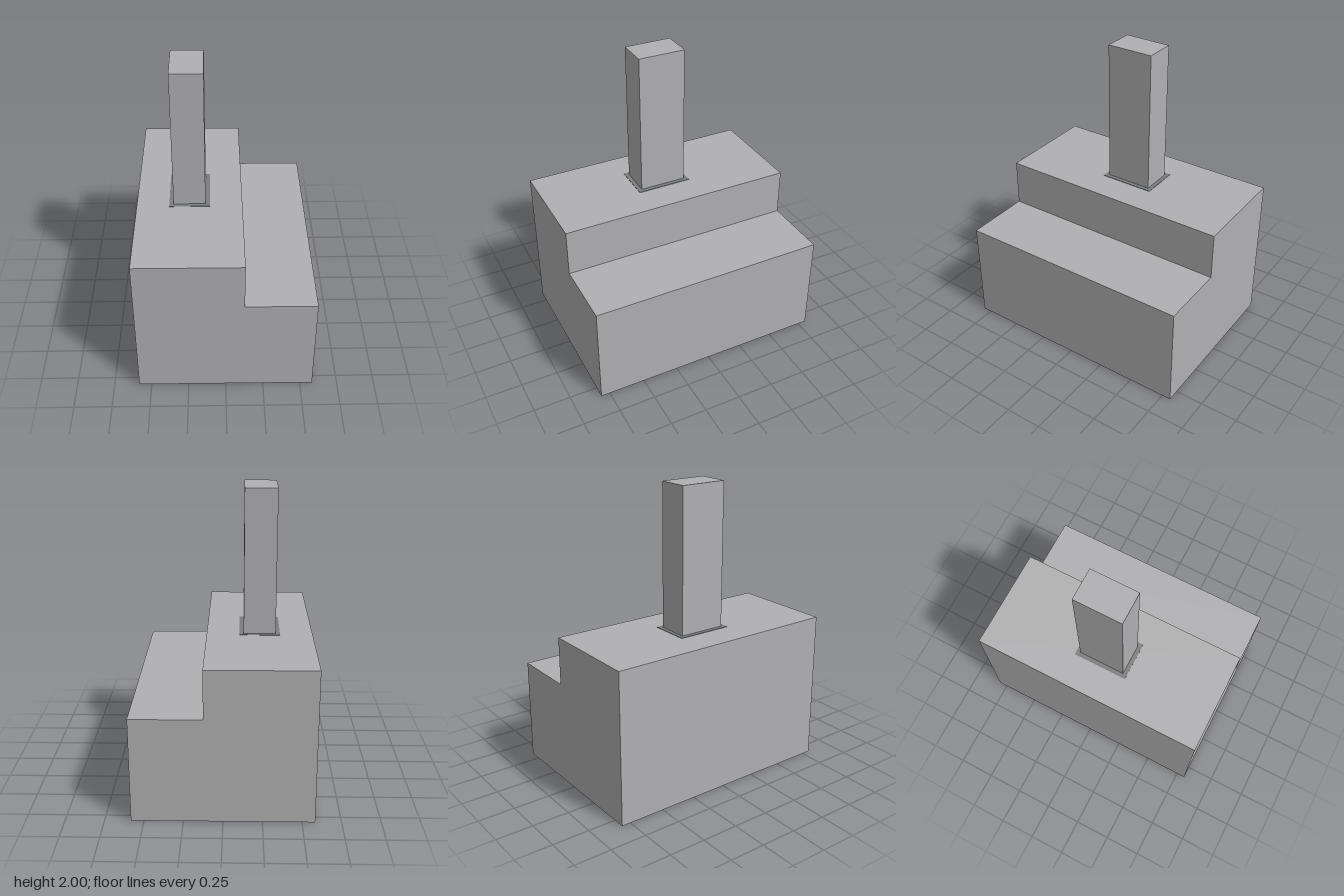
import * as THREE from 'three';

export function createModel() {
  const model = new THREE.Group();
  model.name = 'steppedBuilding';

  const wallGrey = new THREE.MeshStandardMaterial({ name: 'wall grey', color: 0xb0b0b2 });
  const trimGrey = new THREE.MeshStandardMaterial({ name: 'trim grey', color: 0x7a7e7f });

  const add = (name, geometry, material) => {
    const mesh = new THREE.Mesh(geometry, material);
    mesh.name = name;
    model.add(mesh);
    return mesh;
  };

  const half = 0.583, depth = 1.62, roofY = 1.03, stepY = 0.705, stepX = 0.12;

  // Main body: L-shaped section run along z
  const section = new THREE.Shape([
    [-half, 0], [half, 0], [half, stepY], [stepX, stepY], [stepX, roofY], [-half, roofY],
  ].map(([x, y]) => new THREE.Vector2(x, y)));
  const body = new THREE.ExtrudeGeometry(section, { depth, bevelEnabled: false });
  body.translate(0, 0, -depth / 2);
  add('body', body, wallGrey);

  // Tall tower on the upper roof
  const towerX = -0.232, towerW = 0.213, towerD = 0.322, towerH = 2 - roofY;
  add('tower', new THREE.BoxGeometry(towerW, towerH, towerD), wallGrey)
    .position.set(towerX, roofY + towerH / 2, 0);

  // Thin flat collar around the tower foot
  const rectangle = (Type, w, d) => new Type([
    [-w / 2, -d / 2], [w / 2, -d / 2], [w / 2, d / 2], [-w / 2, d / 2],
  ].map(([x, y]) => new THREE.Vector2(x, y)));
  const ring = rectangle(THREE.Shape, 0.27, 0.378);
  ring.holes.push(rectangle(THREE.Path, towerW, towerD));
  const collar = new THREE.ExtrudeGeometry(ring, { depth: 0.003, bevelEnabled: false });
  collar.rotateX(-Math.PI / 2);
  add('towerCollar', collar, trimGrey).position.set(towerX, roofY, 0);

  return model;
}
